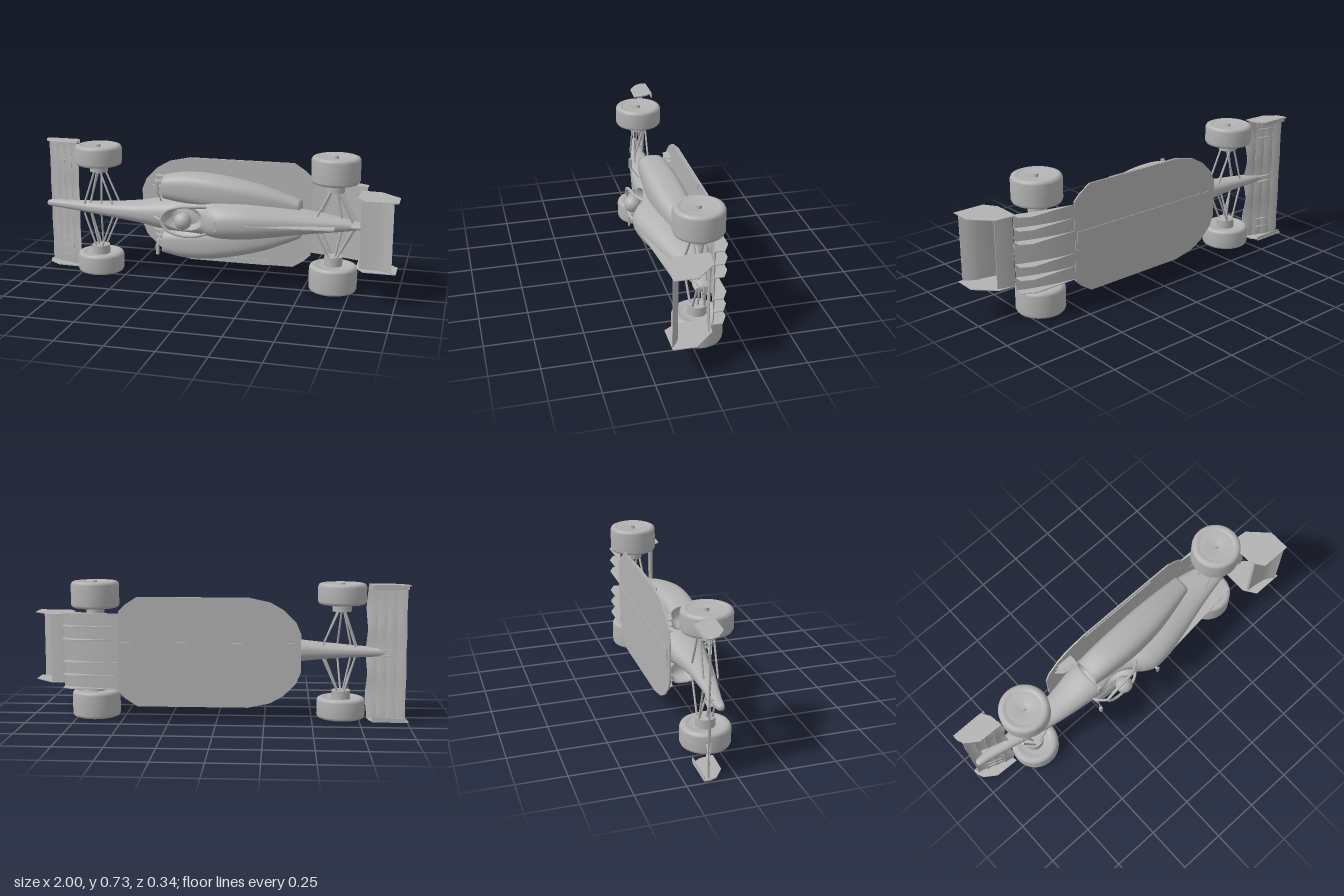
import * as THREE from 'three';

const grey = new THREE.MeshStandardMaterial({ color: 0xb2b2b2, side: THREE.DoubleSide });
grey.name = 'plain grey';

// Local frame: x runs from nose to tail, y across the car, z out of its upper side
export function createModel() {
  const car = new THREE.Group();
  car.name = 'racingCar';
  car.position.y = 0.367;
  const V = (x, y, z) => new THREE.Vector3(x, y, z);

  const add = (name, geometry, x = 0, y = 0, z = 0) => {
    const mesh = new THREE.Mesh(geometry, grey);
    mesh.name = name;
    mesh.position.set(x, y, z);
    car.add(mesh);
    return mesh;
  };
  const box = (name, w, h, d, x, y, z) => add(name, new THREE.BoxGeometry(w, h, d), x, y, z);

  // Round rod between two points
  const bar = (name, a, b, r) => {
    const d = b.clone().sub(a);
    const m = add(name, new THREE.CylinderGeometry(r, r, d.length(), 10));
    m.position.copy(a).add(b).multiplyScalar(0.5);
    m.quaternion.setFromUnitVectors(V(0, 1, 0), d.normalize());
    return m;
  };

  // Upright plate, outlined in x and z, at one y
  const plate = (name, pts, y, t = 0.004) => {
    const shape = new THREE.Shape(pts.map(p => new THREE.Vector2(p[0], p[1])));
    const g = new THREE.ExtrudeGeometry(shape, { depth: t, bevelEnabled: false });
    g.rotateX(Math.PI / 2);
    return add(name, g, 0, y + t / 2, 0);
  };

  // Level plate, mirrored outline in x and y
  const slab = (name, half, z, t) => {
    const pts = [...half, ...half.map(p => [p[0], -p[1]]).reverse()];
    const shape = new THREE.Shape(pts.map(p => new THREE.Vector2(p[0], p[1])));
    return add(name, new THREE.ExtrudeGeometry(shape, { depth: t, bevelEnabled: false }), 0, 0, z);
  };

  // Spline through rows of section numbers
  const smoothRows = (rows, n) => {
    const out = [];
    for (let k = 0; k <= n; k++) {
      const f = (k / n) * (rows.length - 1);
      const i = Math.min(Math.floor(f), rows.length - 2), t = f - i;
      const at = q => rows[Math.max(0, Math.min(rows.length - 1, q))];
      out.push(rows[0].map((_, c) => {
        const [a, b, d, e] = [at(i - 1)[c], at(i)[c], at(i + 1)[c], at(i + 2)[c]];
        return b + 0.5 * t * (d - a + t * (2 * a - 5 * b + 4 * d - e + t * (3 * (b - d) + e - a)));
      }));
    }
    return out;
  };

  // Skin over rounded sections [x, centre y, half width, bottom z, top z]
  const loft = (name, rows, power = 0.8, rule = null, N = 40) => {
    const pos = [], idx = [];
    const bend = c => Math.sign(c) * Math.abs(c) ** power;
    for (const [x, cy, w, lo, hi] of rows) {
      for (let j = 0; j < N; j++) {
        const a = (j / N) * Math.PI * 2;
        const p = V(x, cy + w * bend(Math.cos(a)), (lo + hi) / 2 + ((hi - lo) / 2) * bend(Math.sin(a)));
        if (rule) rule(p);
        pos.push(p.x, p.y, p.z);
      }
    }
    for (let i = 0; i < rows.length - 1; i++) {
      for (let j = 0; j < N; j++) {
        const a = i * N + j, b = i * N + (j + 1) % N;
        idx.push(a, b, a + N, b, b + N, a + N);
      }
    }
    for (const end of [0, rows.length - 1]) {
      const [x, cy, , lo, hi] = rows[end], c = pos.length / 3;
      pos.push(x, cy, (lo + hi) / 2);
      for (let j = 0; j < N; j++) {
        const a = end * N + j, b = end * N + (j + 1) % N;
        idx.push(c, ...(end ? [a, b] : [b, a]));
      }
    }
    const g = new THREE.BufferGeometry();
    g.setAttribute('position', new THREE.Float32BufferAttribute(pos, 3));
    g.setIndex(idx);
    g.computeVertexNormals();
    return add(name, g);
  };

  // Curved wing blade from leading edge (x0,z0) to trailing edge (x1,z1)
  const blade = (name, x0, z0, x1, z1, span, t, wave = 0) => {
    const g = new THREE.BoxGeometry(1, 1, 1, 6, 48, 1), p = g.attributes.position;
    for (let i = 0; i < p.count; i++) {
      const u = p.getX(i) + 0.5, v = p.getY(i);
      const ripple = wave * Math.cos(v * Math.PI * 6);
      p.setXYZ(i, x0 + (x1 - x0) * u + ripple * 0.6, v * span,
        z0 + (z1 - z0) * (0.4 * u + 0.6 * u * u) + ripple * u + p.getZ(i) * t * (1 - 0.6 * u));
    }
    g.computeVertexNormals();
    return add(name, g);
  };

  // Main body with nose, sunken cockpit and engine cover
  const body = [
    [-0.985, 0, 0.006, -0.085, -0.073], [-0.97, 0, 0.017, -0.1, -0.062], [-0.9, 0, 0.022, -0.105, -0.05],
    [-0.8, 0, 0.027, -0.102, -0.028], [-0.65, 0, 0.037, -0.1, 0.006], [-0.53, 0, 0.047, -0.105, 0.03],
    [-0.4, 0, 0.062, -0.125, 0.048], [-0.28, 0, 0.085, -0.148, 0.06], [-0.15, 0, 0.096, -0.15, 0.07],
    [-0.04, 0, 0.099, -0.15, 0.09], [0.02, 0, 0.1, -0.15, 0.13], [0.08, 0, 0.1, -0.15, 0.15],
    [0.2, 0, 0.097, -0.15, 0.138], [0.35, 0, 0.08, -0.15, 0.1], [0.5, 0, 0.06, -0.15, 0.058],
    [0.65, 0, 0.042, -0.115, 0.022], [0.8, 0, 0.018, -0.055, -0.01]];
  loft('body', smoothRows(body, 110), 0.85, p => {
    const d = ((p.x + 0.14) / 0.105) ** 2 + (p.y / 0.062) ** 2;
    if (p.z > 0 && d < 1) p.z -= 0.06 * Math.min(1, (1 - d) * 3);
  }, 64);
  plate('engineCoverFin', [[0.1, 0.1], [0.1, 0.148], [0.3, 0.128], [0.67, 0.09], [0.67, 0.0], [0.4, 0.0]], 0, 0.005);
  box('rearCrashBox', 0.05, 0.036, 0.028, 0.79, 0, -0.042);
  const exhaust = add('exhaust', new THREE.CylinderGeometry(0.013, 0.013, 0.06, 20), 0.78, 0, 0);
  exhaust.rotation.z = Math.PI / 2;
  box('cameraMast', 0.012, 0.01, 0.03, 0.06, 0, 0.155);
  box('cameraBar', 0.016, 0.054, 0.007, 0.06, 0, 0.168);

  // Driver and safety hoop
  add('helmet', new THREE.SphereGeometry(0.046, 32, 20), -0.13, 0, 0.108);
  const hoop = new THREE.CatmullRomCurve3([V(-0.01, 0.072, 0.07), V(-0.06, 0.08, 0.105), V(-0.14, 0.078, 0.118),
    V(-0.22, 0.05, 0.12), V(-0.25, 0, 0.116), V(-0.22, -0.05, 0.12), V(-0.14, -0.078, 0.118),
    V(-0.06, -0.08, 0.105), V(-0.01, -0.072, 0.07)]);
  add('safetyHoop', new THREE.TubeGeometry(hoop, 60, 0.008, 10));
  const strut = new THREE.CatmullRomCurve3([V(-0.25, 0, 0.116), V(-0.28, 0, 0.09), V(-0.31, 0, 0.045)]);
  add('hoopStrut', new THREE.TubeGeometry(strut, 16, 0.007, 10));

  // Floor, plank and diffuser
  slab('floor', [[-0.44, 0.1], [-0.415, 0.16], [-0.35, 0.225], [-0.28, 0.265], [-0.165, 0.29], [0.417, 0.29],
    [0.48, 0.25], [0.515, 0.215]], -0.158, 0.008);
  slab('plank', [[-0.4, 0.052], [0.5, 0.052]], -0.161, 0.003);
  blade('diffuserRamp', 0.51, -0.154, 0.82, -0.075, 0.4, 0.005);
  for (const y of [-0.2, -0.13, -0.06, 0.06, 0.13, 0.2])
    plate('diffuserStrake', [[0.51, -0.157], [0.76, -0.157], [0.82, -0.125], [0.82, -0.075], [0.67, -0.12]], y);

  // Front wing
  for (let e = 0; e < 4; e++) {
    const x = -0.985 + 0.049 * e, z = -0.14 + 0.018 * e;
    blade('frontWingElement', x, z, x + 0.053, z + 0.02, 0.705, 0.007, 0.002 + 0.0015 * e);
  }
  for (const y of [-0.022, 0.022]) plate('noseWingMount', [[-0.93, -0.13], [-0.86, -0.12], [-0.84, -0.08], [-0.92, -0.08]], y * 0.7);

  // Rear wing
  blade('rearWingMain', 0.81, 0.112, 0.91, 0.128, 0.366, 0.014);
  blade('rearWingFlap', 0.905, 0.124, 0.978, 0.164, 0.366, 0.009);
  blade('beamWing', 0.81, -0.05, 0.9, -0.032, 0.366, 0.01);

  // Tyre profile: radius and distance along the axle
  const wheel = (name, x, y, width, side) => {
    const h = width / 2, r = 0.128;
    const profile = [[0, -h * 0.8], [0.08, -h * 0.8], [0.085, -h], [r - 0.018, -h], [r - 0.006, -h + 0.005],
      [r, -h + 0.018], [r, h - 0.018], [r - 0.006, h - 0.005], [r - 0.018, h], [0.094, h], [0.09, h - 0.006],
      [0.085, h - 0.003], [0.03, h - 0.008], [0.026, h - 0.014], [0, h - 0.014]];
    const g = new THREE.LatheGeometry(profile.map(p => new THREE.Vector2(p[0], p[1])), 56);
    if (side < 0) g.rotateX(Math.PI);
    add(name, g, x, y, -0.043);
    add('wheelNut', new THREE.CylinderGeometry(0.012, 0.012, 0.016, 16), x, y + side * (h - 0.006), -0.043);
  };

  for (const s of [-1, 1]) {
    wheel('frontWheel', -0.655, s * 0.303, 0.112, s);
    wheel('rearWheel', 0.655, s * 0.293, 0.142, s);
    add('frontBrakeDrum', new THREE.CylinderGeometry(0.05, 0.05, 0.05, 28), -0.655, s * 0.235, -0.043);
    add('rearBrakeDrum', new THREE.CylinderGeometry(0.048, 0.048, 0.05, 28), 0.655, s * 0.2, -0.043);

    // Suspension arms: inner x, inner y, inner z, outer z
    for (const [dx, y, zi, zo] of [[-0.08, 0.025, -0.01, -0.012], [0.09, 0.035, 0, -0.012], [-0.07, 0.025, -0.08, -0.08],
      [0.1, 0.035, -0.08, -0.08], [0.02, 0.03, -0.01, -0.075], [-0.05, 0.025, -0.03, -0.04]])
      bar('frontSuspensionArm', V(-0.655 + dx, s * y, zi), V(-0.655 + dx * 0.15, s * 0.225, zo), 0.0055);
    for (const [dx, y, zi, zo] of [[-0.09, 0.04, 0, -0.012], [0.1, 0.02, -0.015, -0.012], [-0.08, 0.04, -0.08, -0.075],
      [0.11, 0.02, -0.05, -0.075], [0.04, 0.025, -0.045, -0.043]])
      bar('rearSuspensionArm', V(0.655 + dx, s * y, zi), V(0.655 + dx * 0.15, s * 0.19, zo), 0.006);

    // Sidepod with hollow inlet
    const pod = [[-0.27, 0.152, 0.063, -0.1, 0.045], [-0.15, 0.152, 0.083, -0.11, 0.056], [0, 0.14, 0.09, -0.12, 0.059],
      [0.15, 0.122, 0.083, -0.13, 0.045], [0.3, 0.098, 0.068, -0.135, 0.012], [0.47, 0.065, 0.036, -0.14, -0.04]];
    const inlet = [[-0.2, 0.152, 0.05, -0.08, 0.03], [-0.262, 0.152, 0.056, -0.092, 0.037]];
    loft('sidepod', [...inlet, ...smoothRows(pod, 40)].map(([x, y, ...q]) => [x, y * s, ...q]), 0.7);

    // Mirror, floor fences and floor edge strip
    box('mirror', 0.016, 0.056, 0.016, -0.28, s * 0.172, 0.086);
    bar('mirrorStalk', V(-0.28, s * 0.15, 0.085), V(-0.27, s * 0.085, 0.04), 0.003);
    for (const k of [0, 1, 2])
      plate('floorFence', [[-0.39 + k * 0.015, -0.152], [-0.27, -0.152], [-0.27, -0.1], [-0.35, -0.115]], s * (0.125 + k * 0.03), 0.003);
    box('floorEdgeStrip', 0.45, 0.03, 0.005, 0.06, s * 0.274, -0.143);

    // Wing end plates and front wing brackets
    plate('frontEndPlate', [[-1, -0.165], [-0.83, -0.165], [-0.8, -0.12], [-0.79, -0.05], [-0.92, -0.055],
      [-0.985, -0.1], [-1, -0.135]], s * 0.355, 0.006);
    box('frontWingFootplate', 0.18, 0.024, 0.004, -0.9, s * 0.347, -0.16);
    for (const y of [0.25, 0.3])
      plate('frontWingBracket', [[-0.94, -0.13], [-0.86, -0.11], [-0.85, -0.085], [-0.93, -0.112]], s * y, 0.003);
    plate('rearEndPlate', [[0.79, -0.06], [0.9, -0.05], [1, 0.05], [1, 0.167], [0.835, 0.167], [0.79, 0.1]], s * 0.184);
  }
  return car;
}
